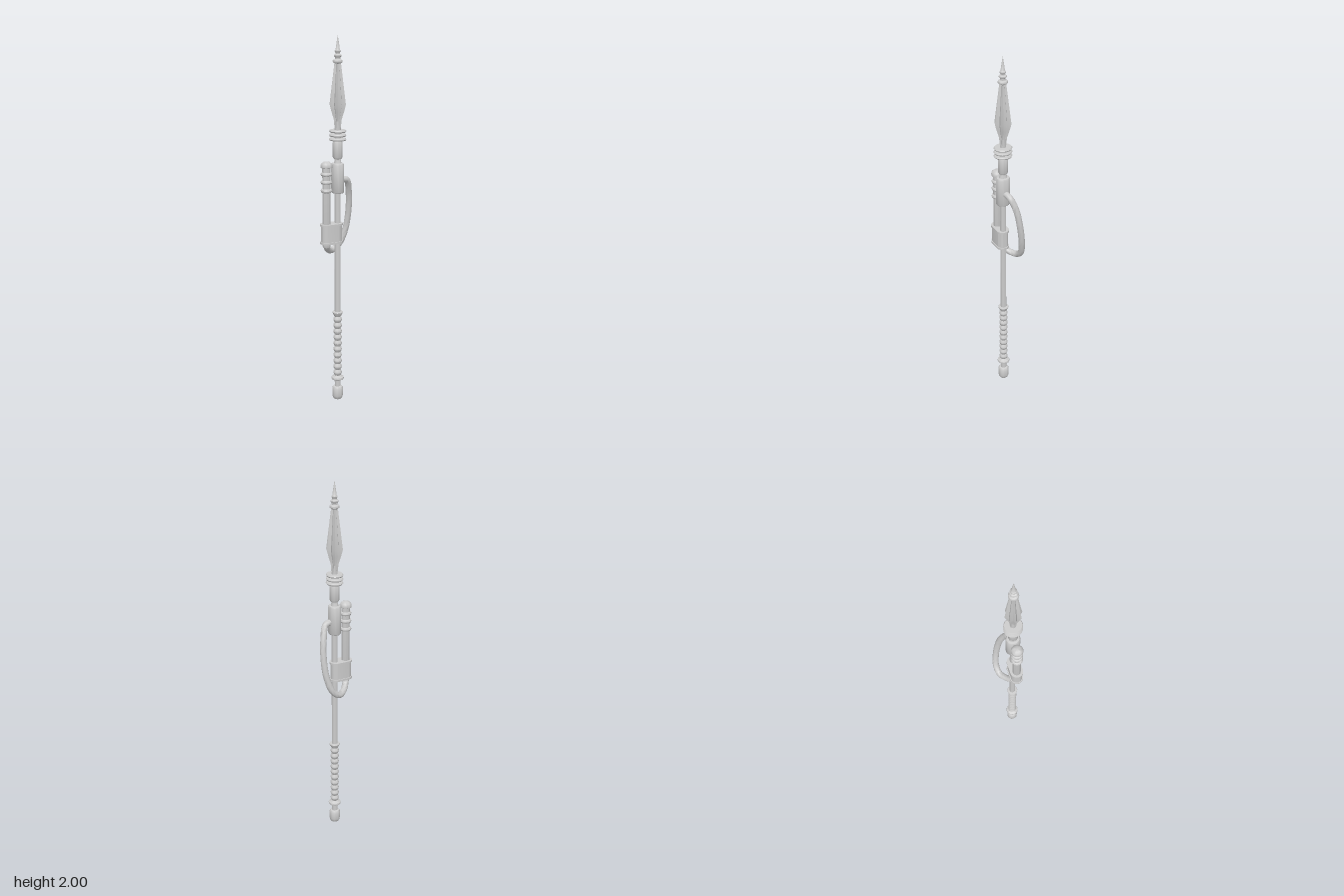
import * as THREE from 'three';
import { toCreasedNormals } from 'three/addons/utils/BufferGeometryUtils.js';

const AX = -0.006, AZ = 0.022; // spear axis
const TX = -0.072;             // side canister axis
const mat = new THREE.MeshStandardMaterial({ color: 0xcccccc, side: THREE.DoubleSide });
const v3 = (x, y, z) => new THREE.Vector3(x, y, z);

export function createModel() {
  const group = new THREE.Group();
  const add = (name, geo, x = 0, y = 0, z = 0, crease = 0.7) => {
    const mesh = new THREE.Mesh(toCreasedNormals(geo, crease), mat);
    mesh.name = name;
    mesh.position.set(x, y, z);
    group.add(mesh);
    return mesh;
  };
  // Turned part from [radius, height] pairs
  const lathe = (name, pts, x = AX, seg = 24, sx = 1) => {
    const mesh = add(name, new THREE.LatheGeometry(pts.map(p => new THREE.Vector2(...p)), seg), x, 0, AZ);
    mesh.scale.x = sx;
    return mesh;
  };

  // Shaft and pommel
  lathe('shaft', [[0.016, 0.06], [0.016, 1.56]]);
  lathe('pommel', [[0, 0], [0.021, 0.001], [0.027, 0.01], [0.03, 0.022], [0.03, 0.064], [0.025, 0.073], [0.016, 0.076]]);
  lathe('gripGuard', [[0.016, 0.108], [0.022, 0.115], [0.033, 0.118], [0.035, 0.124], [0.033, 0.13], [0.022, 0.134], [0.016, 0.14]]);

  // Beaded grip
  const beads = 10, y0 = 0.14, pitch = 0.0345;
  const grip = [];
  for (let i = 0; i < beads; i++)
    for (const [r, t] of [[0.016, 0], [0.021, 0.25], [0.024, 0.5], [0.021, 0.75]])
      grip.push([r, y0 + (i + t) * pitch]);
  grip.push([0.016, y0 + beads * pitch]);
  lathe('grip', grip);
  lathe('gripCollar', [[0.017, 0.485], [0.027, 0.503], [0.029, 0.509], [0.027, 0.513], [0.016, 0.514]]);

  // Housing and neck below the head
  lathe('housing', [[0.016, 1.178], [0.034, 1.178], [0.038, 1.184], [0.038, 1.328], [0.034, 1.336],
    [0.022, 1.338], [0.018, 1.355]], AX, 24, 0.87);
  lathe('neck', [[0.016, 1.36], [0.022, 1.362], [0.026, 1.37], [0.026, 1.445], [0.022, 1.455], [0.016, 1.457]]);
  for (let i = 0; i < 3; i++) {
    const y = 1.464 + i * 0.0215;
    lathe('headDisc', [[0.016, y - 0.006], [0.045, y - 0.006], [0.049, y], [0.045, y + 0.006], [0.016, y + 0.006]], AX, 24, 0.92);
  }

  // Fluted spear blade: lathe with every other column pulled inwards
  const blade = new THREE.LatheGeometry([[0.018, 1.525], [0.021, 1.565], [0.034, 1.605], [0.045, 1.645],
    [0.031, 1.755], [0.017, 1.865]].map(p => new THREE.Vector2(...p)), 16);
  const pos = blade.attributes.position;
  for (let i = 0; i < pos.count; i++) {
    const column = Math.floor(i / 6);
    const k = column % 2 ? 0.62 : 1;
    pos.setX(i, pos.getX(i) * k);
    pos.setZ(i, pos.getZ(i) * k);
  }
  add('blade', blade, AX, 0, AZ, 0.3);
  lathe('tip', [[0.015, 1.855], [0.025, 1.862], [0.026, 1.868], [0.023, 1.874], [0.014, 1.878], [0.014, 1.887],
    [0.02, 1.893], [0.02, 1.899], [0.012, 1.905], [0.012, 1.911], [0.016, 1.916], [0.016, 1.921],
    [0.011, 1.926], [0.006, 1.963], [0, 2]]);

  // Side canister with bands and domed cap
  lathe('canister', [[0, 0.885], [0.019, 0.885], [0.022, 0.895], [0.022, 1.32]], TX);
  lathe('canisterCap', [[0.022, 1.314], [0.031, 1.318], [0.032, 1.328], [0.028, 1.339], [0.017, 1.348], [0, 1.352]], TX);
  for (const y of [1.195, 1.24, 1.283])
    lathe('canisterBand', [[0.02, y - 0.011], [0.028, y - 0.008], [0.031, y], [0.028, y + 0.008], [0.02, y + 0.011]], TX);

  // Clamp joining canister and shaft: rounded slabs
  const slab = (name, grow, y, h) => {
    const s = new THREE.Shape();
    const r = 0.03 + grow;
    s.absarc(TX, 0, r, Math.PI / 2, Math.PI * 1.5);
    s.absarc(-0.014, 0, r, -Math.PI / 2, Math.PI / 2);
    const geo = new THREE.ExtrudeGeometry(s, { depth: h, bevelEnabled: false, curveSegments: 14 });
    add(name, geo.rotateX(-Math.PI / 2), 0, y, AZ);
  };
  slab('clamp', 0, 0.908, 0.102);
  slab('clampRim', 0.005, 0.905, 0.011);
  slab('clampRim', 0.005, 1.003, 0.011);

  // Looped hose from the housing round to the canister base
  const hose = new THREE.CatmullRomCurve3([
    v3(0.01, 1.25, 0.022), v3(0.052, 1.24, 0.013), v3(0.077, 1.17, -0.012), v3(0.086, 1.06, -0.032),
    v3(0.074, 0.95, -0.048), v3(0.045, 0.878, -0.057), v3(0, 0.846, -0.05), v3(-0.045, 0.859, -0.015),
    v3(-0.068, 0.89, 0.012), v3(-0.072, 0.92, 0.022)]);
  add('hose', new THREE.TubeGeometry(hose, 64, 0.017, 14), 0, 0, 0, 1.2);

  return group;
}
